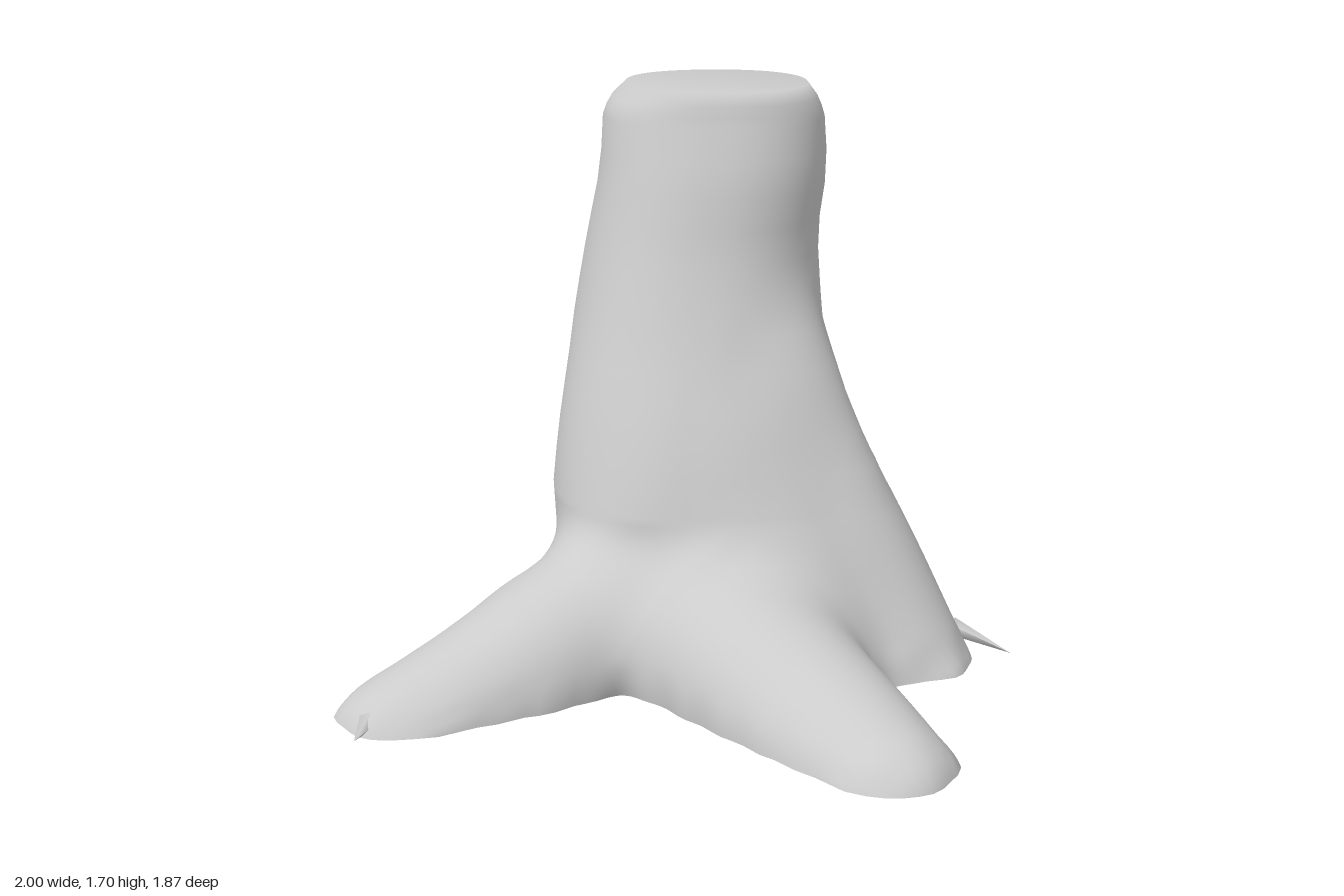
import * as THREE from 'three';

const SIDES = 180;
const TOP = 1.7;
const GROUND = 0.01;

// Trunk sections: y, centre x, centre z, half width, half depth
const TRUNK = [
  [0, 0.02, -0.24, 0.40, 0.41],
  [0.25, 0.02, -0.25, 0.41, 0.42],
  [0.5, 0.015, -0.285, 0.41, 0.425],
  [0.75, 0.035, -0.34, 0.4, 0.405],
  [1.0, 0.055, -0.405, 0.385, 0.375],
  [1.25, 0.07, -0.455, 0.355, 0.345],
  [1.45, 0.105, -0.475, 0.35, 0.34],
  [1.6, 0.105, -0.505, 0.342, 0.325],
  [1.65, 0.107, -0.505, 0.325, 0.315],
  [TOP, 0.115, -0.5, 0.28, 0.295],
];

// Roots: tapered limbs from inside the trunk to a tip half sunk in the ground
const v = (x, y, z) => new THREE.Vector3(x, y, z);
const ROOTS = [
  { a: v(0.11, 0.09, 0.1), b: v(0.54, -0.07, 0.745), ra: 0.32, rb: 0.205 }, // front
  { a: v(-0.26, 0.12, 0.03), b: v(-0.81, -0.09, 0.385), ra: 0.26, rb: 0.21 }, // front right
  { a: v(0.31, 0.84, -0.2), b: v(0.68, -0.06, 0.01), ra: 0.15, rb: 0.215 }, // tall left
  { a: v(0.2, 0.6, -0.14), b: v(0.4, -0.02, 0.1), ra: 0.2, rb: 0.22 }, // web to the front
  { a: v(0.3, 0.1, -0.38), b: v(0.51, 0.0, -0.41), ra: 0.19, rb: 0.15 }, // back left
  { a: v(0.16, 0.04, -0.5), b: v(0.17, -0.01, -0.74), ra: 0.19, rb: 0.145 }, // back
  { a: v(-0.36, 0.0, -0.35), b: v(-0.42, 0.02, 0.0), ra: 0.16, rb: 0.19 }, // right flank
];

function trunkAt(y) {
  let i = 0;
  while (i < TRUNK.length - 2 && y > TRUNK[i + 1][0]) i++;
  const p = TRUNK[i], q = TRUNK[i + 1];
  const t = (y - p[0]) / (q[0] - p[0]);
  return p.map((n, k) => n + (q[k] - n) * t);
}

// Blend two distances into one flowing surface
function blend(a, b, k) {
  const h = Math.max(k - Math.abs(a - b), 0) / k;
  return Math.min(a, b) - h * h * k * 0.25;
}

// Distance to the stump: negative inside
function stump(x, y, z, section) {
  const [, cx, cz, rx, rz] = section;
  const e = 2.25; // slightly squared section
  const reach = (Math.abs((x - cx) / rx) ** e + Math.abs((z - cz) / rz) ** e) ** (1 / e);
  let d = (reach - 1) * Math.min(rx, rz);
  for (const { a, b, ra, rb } of ROOTS) {
    const dx = b.x - a.x, dy = b.y - a.y, dz = b.z - a.z;
    const dot = (x - a.x) * dx + (y - a.y) * dy + (z - a.z) * dz;
    const h = THREE.MathUtils.clamp(dot / (dx * dx + dy * dy + dz * dz), 0, 1);
    const limb = Math.hypot(x - a.x - dx * h, y - a.y - dy * h, z - a.z - dz * h);
    d = blend(d, limb - (ra + (rb - ra) * h), 0.13);
  }
  // Soft lumps, stronger near the ragged ground edge
  const ragged = 0.01 * Math.max(0, 1 - y / 0.12);
  return d + 0.006 * Math.sin(9 * x + 2) * Math.sin(7 * y) * Math.sin(8 * z)
    + ragged * Math.sin(31 * x + 1) * Math.sin(27 * z);
}

// One closed outline of the stump at height y
function outline(y) {
  const section = trunkAt(y);
  const t = THREE.MathUtils.smoothstep(y, 0.1, 0.8);
  const ox = section[1] * t;
  const oz = THREE.MathUtils.lerp(-0.12, section[2], t);
  const points = [];
  for (let i = 0; i < SIDES; i++) {
    const angle = (i / SIDES) * Math.PI * 2;
    const c = Math.cos(angle), s = Math.sin(angle);
    const inside = (r) => stump(ox + c * r, y, oz + s * r, section) < 0;
    let r = 1.4;
    while (r > 0.02 && !inside(r)) r -= 0.01;
    let lo = r, hi = r + 0.01;
    for (let n = 0; n < 8; n++) {
      const mid = (lo + hi) / 2;
      if (inside(mid)) lo = mid; else hi = mid;
    }
    points.push(v(ox + c * lo, y, oz + s * lo));
  }
  return points;
}

function makeGeometry(points, index) {
  const geometry = new THREE.BufferGeometry().setFromPoints(points);
  geometry.setIndex(index);
  geometry.computeVertexNormals();
  return geometry;
}

export function createModel() {
  const group = new THREE.Group();
  group.name = 'treeStump';
  const material = new THREE.MeshStandardMaterial({ color: 0xcccccc });
  const add = (geometry, name) => {
    const mesh = new THREE.Mesh(geometry, material);
    mesh.name = name;
    group.add(mesh);
    return mesh;
  };

  // Bark: levels packed closely through the roots, wider up the trunk
  const rings = [];
  for (let k = 0; k <= 26; k++) rings.push(outline(GROUND + (0.5 - GROUND) * (k / 26) ** 1.3));
  for (let k = 1; k <= 11; k++) rings.push(outline(0.5 + k * 0.1));
  for (const y of [1.63, 1.66, TOP]) rings.push(outline(y));
  const index = [];
  for (let j = 0; j < rings.length - 1; j++) {
    for (let i = 0; i < SIDES; i++) {
      const n = (i + 1) % SIDES;
      const a = j * SIDES + i, b = j * SIDES + n;
      const c = a + SIDES, d = b + SIDES;
      index.push(a, c, b, b, c, d);
    }
  }
  // Cut top, joined smoothly to the bark
  const points = rings.flat();
  const rim = points.length - SIDES;
  const middle = points.length;
  points.push(v(0.115, TOP - 0.01, -0.5));
  for (let i = 0; i < SIDES; i++) index.push(middle, rim + (i + 1) % SIDES, rim + i);
  add(makeGeometry(points, index), 'trunkAndRoots');

  // Flat underside
  const base = [];
  for (let i = 0; i < SIDES; i++) base.push(SIDES, i, (i + 1) % SIDES);
  add(makeGeometry([...rings[0], v(0, GROUND, -0.12)], base), 'underside');

  // Thin splinters at the root tips
  const splinters = [
    [v(0.84, 0.06, -0.1), v(1.0, 0.025, 0.03), 0.03],
    [v(0.12, 0.04, -0.84), v(0.11, 0.0, -0.94), 0.03],
    [v(-0.89, 0.04, 0.5), v(-0.92, 0.02, 0.59), 0.03],
  ];
  for (const [from, to, radius] of splinters) {
    const direction = to.clone().sub(from);
    const mesh = add(new THREE.ConeGeometry(radius, direction.length(), 5), 'rootSplinter');
    mesh.position.copy(from).add(to).multiplyScalar(0.5);
    mesh.quaternion.setFromUnitVectors(v(0, 1, 0), direction.normalize());
  }
  return group;
}
